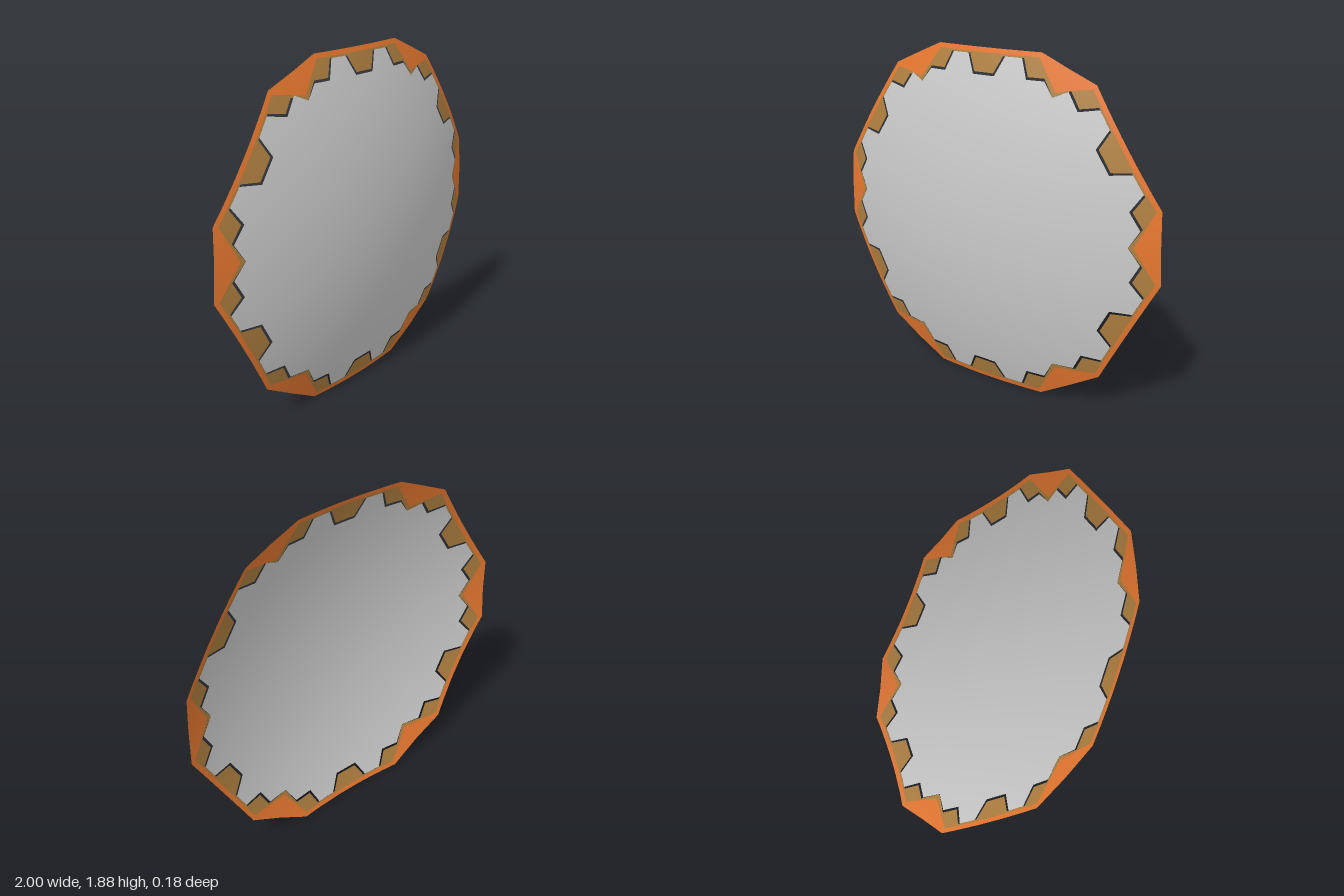
import * as THREE from 'three';

const CY = 0.97;          // height of the dome's crown
const BULGE = 0.17;       // how fast the dome falls away from the crown

// Rim corners on the +x half; each pair of corners bounds one long side
const half = [[0.34, 0], [0.69, 0.21], [1, 0.81], [0.98, 1.19], [0.61, 1.75], [0.31, 1.88]];
const mirrored = half.map(([x, y]) => [-x, y]).reverse();
const corners = [mirrored[5], ...half, ...mirrored.slice(0, 5)].map(([x, y]) => new THREE.Vector2(x, y));

// Point beside the edge a-b: s along it from the middle, d inward
function beside(a, b, s, d) {
  const dir = b.clone().sub(a).normalize();
  return a.clone().add(b).multiplyScalar(0.5)
    .add(new THREE.Vector2(dir.x * s - dir.y * d, dir.y * s + dir.x * d));
}

// Closed loop: the same half profile on all six long sides, plus a point on each short side
function makeLoop(profile, cornerDepth) {
  const side = [...profile.map(([s, d]) => [-s, d]), ...profile.slice().reverse()];
  const loop = [];
  for (let i = 0; i < 12; i += 2) {
    const a = corners[i], b = corners[i + 1], c = corners[(i + 2) % 12];
    const scale = a.distanceTo(b) / 0.68;
    for (const [s, d] of side) loop.push(beside(a, b, s * scale, d));
    loop.push(beside(b, c, 0, cornerDepth));
  }
  return loop;
}

// Skin a list of loops (inner to outer) laid on the curved dome
function skin(name, loops, color) {
  const pos = [], nor = [], index = [];
  const n = loops[0].length;
  for (const loop of loops) {
    for (const p of loop) {
      const y = p.y - CY;
      pos.push(p.x, p.y, 0.09 - BULGE * (p.x * p.x + y * y));
      const normal = new THREE.Vector3(2 * BULGE * p.x, 2 * BULGE * y, 1).normalize();
      nor.push(normal.x, normal.y, normal.z);
    }
  }
  for (let r = 0; r < loops.length - 1; r++) {
    const collapsed = loops[r][0].equals(loops[r][1]);
    for (let i = 0; i < n; i++) {
      const j = (i + 1) % n;
      const a = r * n + i, b = r * n + j, c = a + n, d = b + n;
      index.push(a, c, d);
      if (!collapsed) index.push(a, d, b);
    }
  }
  const geo = new THREE.BufferGeometry();
  geo.setAttribute('position', new THREE.Float32BufferAttribute(pos, 3));
  geo.setAttribute('normal', new THREE.Float32BufferAttribute(nor, 3));
  geo.setIndex(index);
  const mesh = new THREE.Mesh(geo, new THREE.MeshStandardMaterial({ color, side: THREE.DoubleSide }));
  mesh.name = name;
  return mesh;
}

export function createModel() {
  const group = new THREE.Group();
  group.name = 'domedPanel';

  // Outer edge, inner edge of the rim, toothed inner edge of the bracket ring, notched dome edge
  const sides = [0.34, 0.28, 0.24, 0.11, 0.063];
  const rimOuter = makeLoop(sides.map((s) => [s, 0]), 0);
  const rimInner = makeLoop(sides.map((s) => [Math.min(s, 0.33), 0.024]), 0.125);
  const teeth = makeLoop([[0.378, 0.12], [0.28, 0.12], [0.24, 0.034], [0.11, 0.034], [0.063, 0.12]], 0.15);
  const notches = makeLoop([[0.38, 0.133], [0.272, 0.133], [0.228, 0.034], [0.122, 0.034], [0.07, 0.133]], 0.151);

  // Dome: the notched edge shrunk towards the crown in rings
  const crown = new THREE.Vector2(0, CY);
  const rings = [];
  for (let k = 0; k <= 8; k++) rings.push(notches.map((p) => crown.clone().lerp(p, k / 8)));

  group.add(skin('dome', rings, 0xcccccc));
  group.add(skin('toothedBracketRing', [teeth, rimInner], 0xb08040));
  group.add(skin('outerRim', [rimInner, rimOuter], 0xe87830));
  return group;
}
